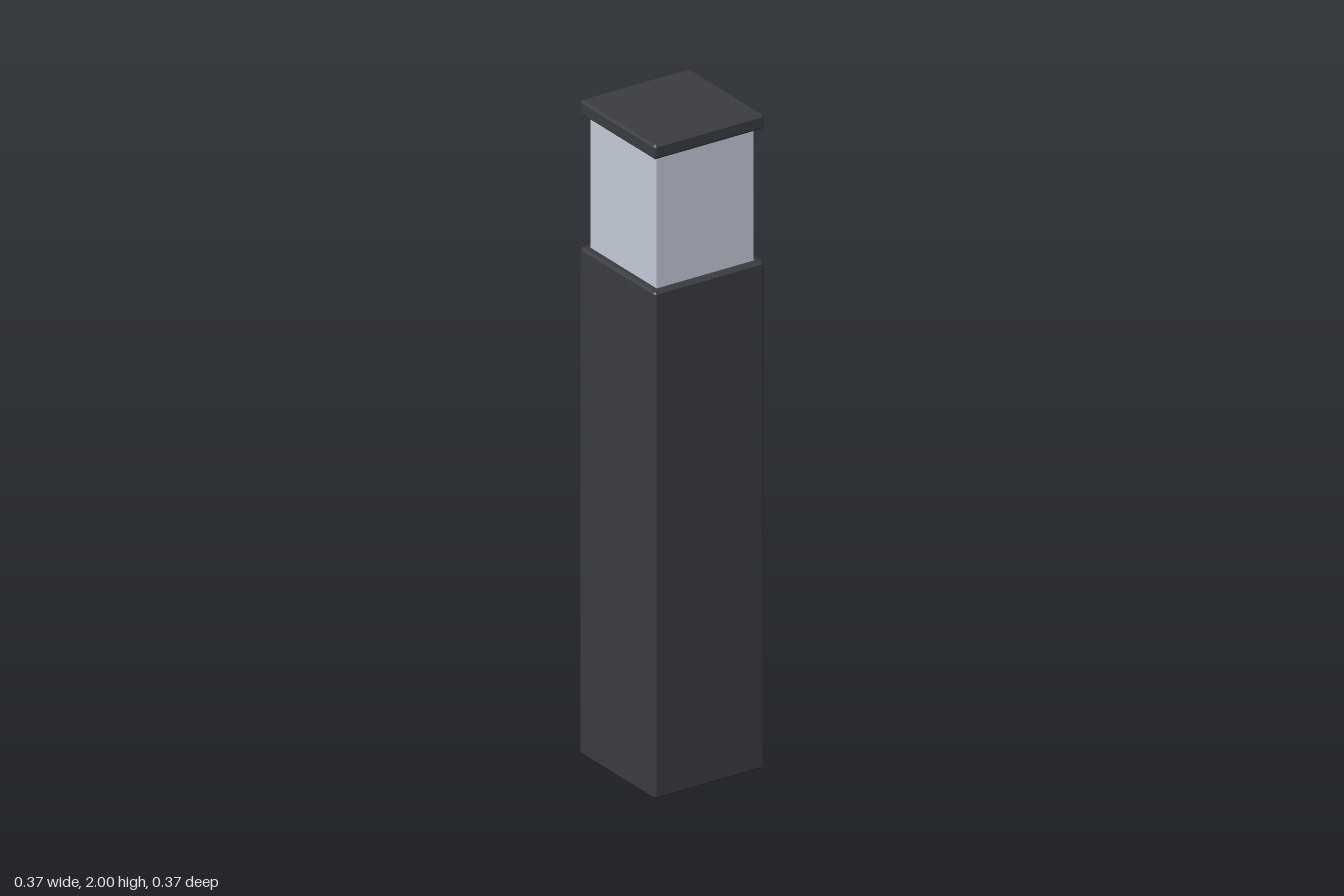
import * as THREE from 'three';
import { ConvexGeometry } from 'three/addons/geometries/ConvexGeometry.js';

const metal = new THREE.MeshStandardMaterial({ color: 0x3a3d41 });
const glass = new THREE.MeshStandardMaterial({ color: 0xc8cedd });

// Square block from y0 to y1 with every edge chamfered by c
function chamferedBlock(name, half, y0, y1, c) {
  const h = (y1 - y0) / 2;
  const points = [];
  for (const sx of [-1, 1]) for (const sy of [-1, 1]) for (const sz of [-1, 1]) {
    // three points around each corner, one on each adjoining face
    points.push(
      new THREE.Vector3(sx * half, sy * (h - c), sz * (half - c)),
      new THREE.Vector3(sx * (half - c), sy * h, sz * (half - c)),
      new THREE.Vector3(sx * (half - c), sy * (h - c), sz * half)
    );
  }
  const mesh = new THREE.Mesh(new ConvexGeometry(points), metal);
  mesh.name = name;
  mesh.position.y = (y0 + y1) / 2;
  return mesh;
}

export function createModel() {
  const group = new THREE.Group();
  group.name = 'bollardLight';

  // Tall post and the thin lid above the lamp
  group.add(chamferedBlock('post', 0.185, 0, 1.55, 0.007));
  group.add(chamferedBlock('cap', 0.185, 1.955, 2, 0.007));

  // Sharp-edged lamp block, seated slightly into post and cap
  const lamp = new THREE.Mesh(new THREE.BoxGeometry(0.325, 0.415, 0.325), glass);
  lamp.name = 'lampGlass';
  lamp.position.y = 1.7525;
  group.add(lamp);

  return group;
}
